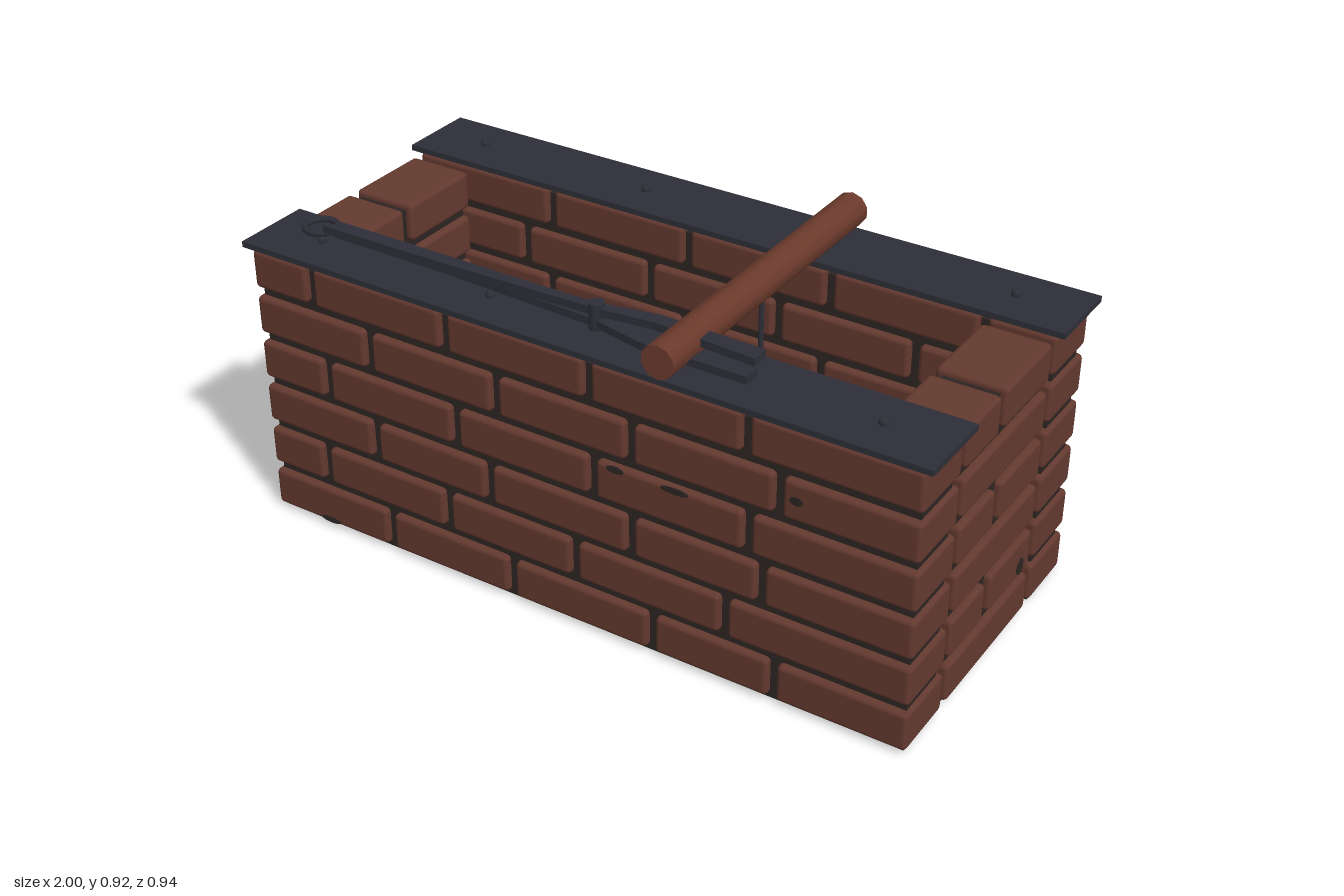
import * as THREE from 'three';
import { RoundedBoxGeometry } from 'three/addons/geometries/RoundedBoxGeometry.js';

const mat = (name, color, extra = {}) => {
  const m = new THREE.MeshStandardMaterial({ color, ...extra });
  m.name = name;
  return m;
};

export function createModel() {
  const brick = mat('brick', 0x63392f);
  const mortar = mat('mortar', 0x2c2422);
  const iron = mat('iron', 0x2e2e38);
  const castIron = mat('castIron', 0x24262e, { side: THREE.DoubleSide });
  const coal = mat('coal', 0x24272e, { flatShading: true });
  const wood = mat('wood', 0x6b3a2c);

  const model = new THREE.Group();
  model.name = 'brickForge';

  const group = (name) => {
    const g = new THREE.Group();
    g.name = name;
    model.add(g);
    return g;
  };
  const add = (parent, name, geometry, material, x = 0, y = 0, z = 0) => {
    const m = new THREE.Mesh(geometry, material);
    m.name = name;
    m.position.set(x, y, z);
    parent.add(m);
    return m;
  };
  // Box given by its low and high corners, optionally with worn rounded edges
  const block = (parent, name, material, a, b, round = 0) => {
    const s = a.map((v, i) => b[i] - v);
    const geometry = round ? new RoundedBoxGeometry(...s, 2, round) : new THREE.BoxGeometry(...s);
    return add(parent, name, geometry, material, ...a.map((v, i) => (v + b[i]) / 2));
  };
  // Split a run at its joints, leaving a gap at each
  const spans = (start, joints, end, gap) => {
    const cuts = [start - gap / 2, ...joints, end + gap / 2];
    return cuts.slice(1).map((c, i) => [cuts[i] + gap / 2, c - gap / 2]);
  };

  const ROW = 0.136, BRICK_H = 0.11, BASE = 0.012;

  // Long walls, bottom course first
  const longJoints = [
    [-0.57, -0.17, 0.26, 0.61],
    [-0.78, -0.37, 0.03, 0.47],
    [-0.60, -0.23, 0.20, 0.57],
    [-0.75, -0.33, 0.09, 0.53],
    [-0.60, -0.20, 0.20, 0.61],
    [-0.78, -0.35, 0.08, 0.52],
  ];
  for (const side of [1, -1]) {
    const wall = group(side > 0 ? 'frontWall' : 'backWall');
    block(wall, 'wallMortar', mortar, [-0.958, 0, side * 0.352 - 0.077], [0.964, 0.785, side * 0.352 + 0.077]);
    longJoints.forEach((joints, i) => {
      const y = BASE + i * ROW;
      const cuts = side > 0 ? joints : joints.map((j) => -j).reverse();
      for (const [x0, x1] of spans(-0.97, cuts, 0.977, 0.026)) {
        block(wall, 'wallBrick', brick, [x0, y, side * 0.352 - 0.097], [x1, y + BRICK_H, side * 0.352 + 0.097], 0.013);
      }
    });
  }

  // Short end walls
  const endJoints = [[], [0.03], [], [0.022], [], [0.04]];
  for (const [name, x0, x1] of [['rightEndWall', -0.97, -0.78], ['leftEndWall', 0.787, 0.977]]) {
    const wall = group(name);
    block(wall, 'endMortar', mortar, [x0 + 0.02, 0, -0.222], [x1 - 0.02, 0.785, 0.224]);
    endJoints.forEach((joints, i) => {
      const y = BASE + i * ROW;
      for (const [z0, z1] of spans(-0.23, joints, 0.232, 0.03)) {
        block(wall, 'endBrick', brick, [x0, y, z0], [x1, y + BRICK_H, z1], 0.013);
      }
    });
  }

  // Hearth floor, two rows of flat bricks
  const floor = group('hearthFloor');
  block(floor, 'floorMortar', mortar, [-0.74, 0, -0.225], [0.755, 0.042, 0.215]);
  [
    [-0.235, -0.015, [-0.56, -0.12, 0.28]],
    [0.008, 0.224, [-0.35, 0.08, 0.43]],
  ].forEach(([z0, z1, joints]) => {
    for (const [x0, x1] of spans(-0.752, joints, 0.766, 0.024)) {
      block(floor, 'floorBrick', brick, [x0, 0.005, z0], [x1, 0.06, z1], 0.012);
    }
  });

  // Chipped patches on the bricks
  const chips = group('chips');
  const blob = new THREE.CylinderGeometry(1, 1, 1, 9);
  const chip = (x, y, z, w, h, face = 'top', turn = 0) => {
    const m = add(chips, 'chip', blob, mortar, x, y, z);
    m.scale.set(w, 0.004, h);
    if (face === 'front') m.rotation.x = Math.PI / 2;
    else if (face === 'end') m.rotation.z = Math.PI / 2;
    else m.rotation.y = turn;
  };
  chip(-0.48, 0.06, -0.12, 0.055, 0.022, 'top', -0.6);
  chip(-0.44, 0.06, -0.17, 0.06, 0.014, 'top', 0.7);
  chip(-0.58, 0.06, -0.17, 0.035, 0.012);
  chip(-0.35, 0.06, -0.215, 0.025, 0.01, 'top', 0.3);
  chip(0.56, 0.06, -0.035, 0.04, 0.013, 'top', 0.3);
  chip(0.72, 0.06, -0.085, 0.035, 0.022, 'top', -0.7);
  chip(0.66, 0.615, 0.449, 0.018, 0.012, 'front');
  chip(0.16, 0.522, 0.449, 0.025, 0.01, 'front');
  chip(0.33, 0.522, 0.449, 0.04, 0.009, 'front');
  chip(-0.78, 0.023, 0.449, 0.035, 0.009, 'front');
  chip(0.977, 0.18, -0.165, 0.025, 0.02, 'end');

  // Iron plates capping the long walls, with rivets
  const rivet = new THREE.SphereGeometry(0.013, 10, 6);
  for (const side of [1, -1]) {
    const plate = group(side > 0 ? 'frontPlate' : 'backPlate');
    block(plate, 'plate', iron, [-0.985, 0.813, side * 0.3515 - 0.1125], [1, 0.829, side * 0.3515 + 0.1125]);
    for (const x of [-0.81, -0.27, 0.82]) add(plate, 'rivet', rivet, iron, x, 0.833, side * 0.352);
  }

  // Wooden pole across the top and wooden plug in the end wall
  const pole = add(model, 'pole', new THREE.CylinderGeometry(0.046, 0.047, 0.94, 10, 6), wood, 0.295, 0.877, 0);
  pole.rotation.x = Math.PI / 2;
  const plug = add(model, 'endPlug', new THREE.CylinderGeometry(0.045, 0.045, 0.06, 12), wood, -0.97, 0.165, -0.005);
  plug.rotation.z = Math.PI / 2;

  // Hanging pan
  const pan = group('hangingPan');
  const profile = [[0, 0.2], [0.1, 0.205], [0.145, 0.24], [0.165, 0.34], [0.176, 0.345],
    [0.172, 0.36], [0.145, 0.355], [0.128, 0.25], [0.09, 0.222], [0, 0.218]];
  add(pan, 'panBowl', new THREE.LatheGeometry(profile.map((p) => new THREE.Vector2(...p)), 16), castIron, 0.3, 0, 0);
  add(pan, 'panHanger', new THREE.CylinderGeometry(0.007, 0.007, 0.64, 8), iron, 0.3, 0.53, 0);

  // Tongs: two crossing arms, pivot and end ring
  const tongs = group('tongs');
  const arm = (name, y, path) => {
    // path entries: x, z, half width
    const outline = [...path.map(([x, z, w]) => [x, z - w]), ...path.map(([x, z, w]) => [x, z + w]).reverse()];
    const shape = new THREE.Shape(outline.map(([x, z]) => new THREE.Vector2(x, -z)));
    const g = new THREE.ExtrudeGeometry(shape, { depth: 0.021, bevelEnabled: false });
    g.rotateX(-Math.PI / 2);
    add(tongs, name, g, iron, 0, y, 0);
  };
  arm('upperArm', 0.874, [[-0.78, 0.368, 0.011], [-0.4, 0.364, 0.011], [0.04, 0.347, 0.014], [0.2, 0.322, 0.02], [0.49, 0.335, 0.025]]);
  arm('lowerArm', 0.843, [[-0.78, 0.326, 0.011], [-0.4, 0.33, 0.011], [0.04, 0.347, 0.014], [0.2, 0.375, 0.02], [0.49, 0.37, 0.025]]);
  add(tongs, 'tongsPivot', new THREE.CylinderGeometry(0.021, 0.021, 0.072, 10), iron, 0.045, 0.869, 0.347);
  const ring = add(tongs, 'tongsRing', new THREE.TorusGeometry(0.042, 0.009, 8, 18), iron, -0.815, 0.869, 0.345);
  ring.rotation.x = Math.PI / 2;

  // Coal lumps on the hearth
  const coals = group('coals');
  const lump = new THREE.IcosahedronGeometry(0.032, 1);
  [[-0.64, -0.08], [-0.49, -0.045], [-0.335, 0.1], [-0.15, 0.125], [0.03, 0.115],
    [0.14, 0.1], [0.475, 0.055], [0.63, -0.06]].forEach(([x, z], i) => {
    const m = add(coals, 'coalLump', lump, coal, x, 0.076, z);
    m.scale.set(1, 0.75, 0.72);
    m.rotation.y = i * 1.3;
  });

  return model;
}
